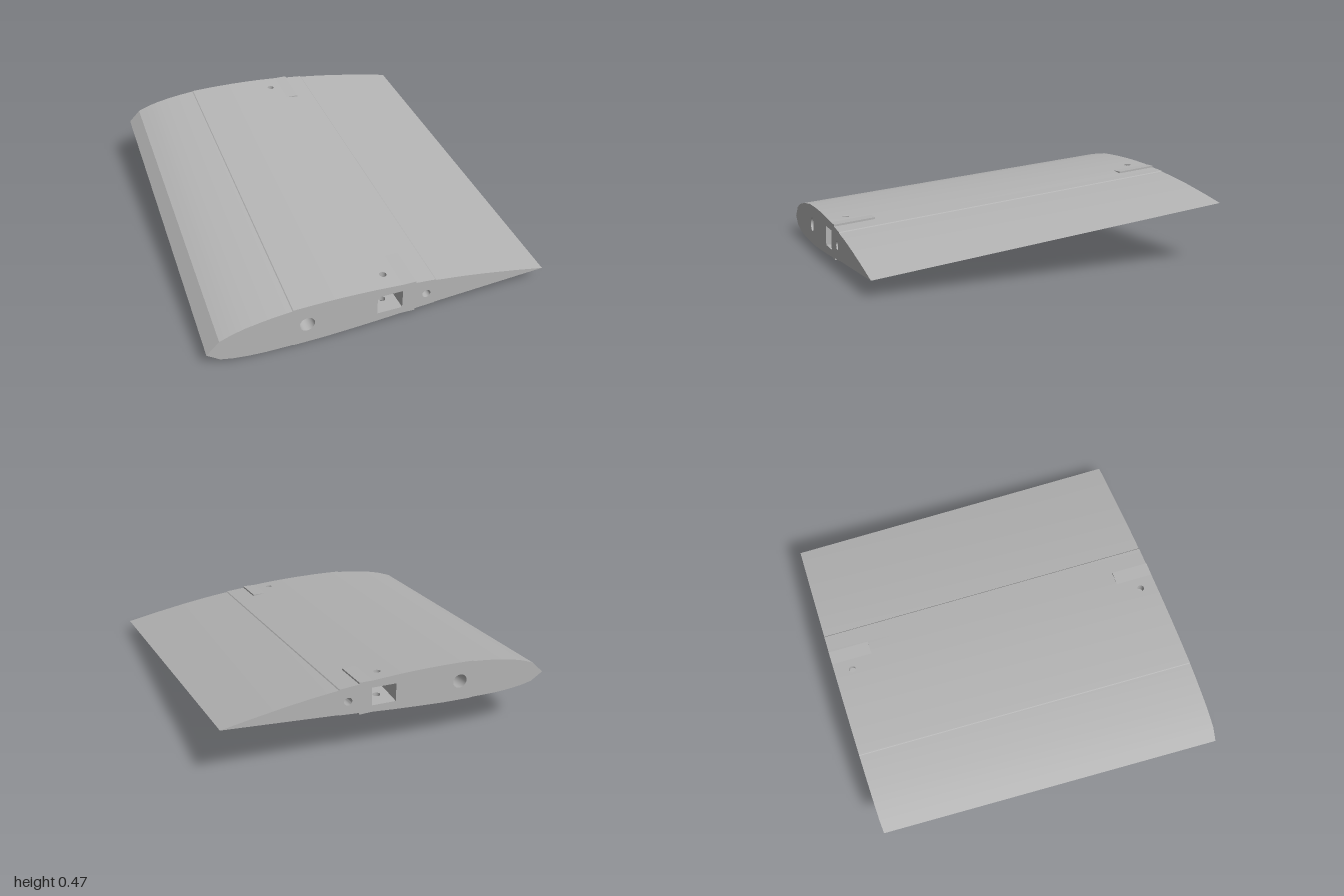
import * as THREE from 'three';
import { mergeGeometries, toCreasedNormals } from 'three/addons/utils/BufferGeometryUtils.js';

// Tapered, swept-up placement of a section point (u, v) at depth z
function place(u, v, z) {
  const t = (1 - z) / 2, s = 1 - 0.078 * t;
  return new THREE.Vector3(u * s - 0.005 * t, v * s + 0.251 * t, z);
}

// Section, counter-clockwise from the trailing edge; small steps are the seams
const topSide = [
  [0.97, 0.085], [0.8, 0.119], [0.6, 0.155], [0.45, 0.178], [0.305, 0.196], [0.3, 0.201],
  [0.185, 0.211], [0.1, 0.222], [-0.03, 0.231], [-0.12, 0.235], [-0.22, 0.238], [-0.33, 0.239],
  [-0.42, 0.238], [-0.505, 0.236], [-0.51, 0.232], [-0.6, 0.224], [-0.68, 0.213], [-0.76, 0.199],
  [-0.83, 0.181], [-0.9, 0.155],
];
const bottomSide = [
  [-0.97, 0.085], [-0.9, 0.036], [-0.83, 0.02], [-0.75, 0.01], [-0.66, 0.004], [-0.51, 0.003],
  [-0.505, 0], [-0.33, 0.002], [-0.18, 0.009], [-0.03, 0.0175], [0.1, 0.027], [0.185, 0.035],
  [0.3, 0.042], [0.305, 0.045],
];
const section = [...topSide, ...bottomSide];

const BORES = [['sparBore', -0.43, 0.12, 0.042], ['pinBore', 0.25, 0.118, 0.024]];
const POCKET = { x0: -0.035, x1: 0.11, y0: 0.068, y1: 0.178, depth: 0.23 };
const SCREW = { u: 0.035, z: 0.9, r: 0.02 };

const circle = (x, y, r, n = 24) => Array.from({ length: n }, (_, i) => {
  const a = (i / n) * Math.PI * 2;
  return [x + r * Math.cos(a), y + r * Math.sin(a)];
});
const vec = (pts) => pts.map(([x, y]) => new THREE.Vector2(x, y));

// Flat outline with holes, each point moved to its place by a rule
function sheet(outline, holes, rule) {
  const shape = new THREE.Shape(vec(outline));
  holes.forEach((h) => shape.holes.push(new THREE.Path(vec(h))));
  const geo = new THREE.ShapeGeometry(shape);
  const p = geo.attributes.position;
  for (let i = 0; i < p.count; i++) {
    const q = rule(p.getX(i), p.getY(i));
    p.setXYZ(i, q.x, q.y, q.z);
  }
  geo.deleteAttribute('uv');
  geo.computeVertexNormals();
  return geo;
}
const rect = (x0, y0, x1, y1) => [[x0, y0], [x1, y0], [x1, y1], [x0, y1]];

// Spanwise panels between z0 and z1, one per profile segment
function loft(profile, z0, z1, crease, drilled) {
  const panels = profile.map(([u0, v0], i) => {
    const [u1, v1] = profile[(i + 1) % profile.length];
    const holes = [];
    if (drilled && Math.min(u0, u1) === -0.03 && Math.max(u0, u1) === 0.1) {
      for (const z of [SCREW.z, -SCREW.z]) {
        holes.push(circle(0, 0, SCREW.r).map(([a, b]) => [(SCREW.u + a - u0) / (u1 - u0), z + b]));
      }
    }
    return sheet(rect(0, z0, 1, z1), holes, (f, z) => place(u0 + f * (u1 - u0), v0 + f * (v1 - v0), z));
  });
  return toCreasedNormals(mergeGeometries(panels), crease);
}

export function createModel() {
  const wing = new THREE.Group();
  wing.name = 'wingSection';
  const grey = new THREE.MeshStandardMaterial({ color: 0xb4b4b4, side: THREE.DoubleSide });
  grey.name = 'plainGrey';
  const add = (parent, name, geo) => {
    const mesh = new THREE.Mesh(geo, grey);
    mesh.name = name;
    parent.add(mesh);
    return mesh;
  };

  // Outer skin and the two bores running along the span
  add(wing, 'skin', loft(section, -1, 1, 0.2, true));
  for (const [name, x, y, r] of BORES) add(wing, name, loft(circle(x, y, r), -1, 1, 0.6));

  for (const e of [1, -1]) {
    const end = new THREE.Group();
    end.name = e > 0 ? 'frontEnd' : 'backEnd';
    wing.add(end);

    // End rib with bores and square pocket cut out
    const holes = BORES.map(([, x, y, r]) => circle(x, y, r));
    holes.push(rect(POCKET.x0, POCKET.y0, POCKET.x1, POCKET.y1));
    const rib = sheet(section, holes, (u, v) => place(u, v, e));
    if (e < 0) {
      rib.index.array.reverse();
      rib.computeVertexNormals();
    }
    add(end, 'endRib', rib);

    // Straight pocket
    const a = place(POCKET.x0, POCKET.y0, e), b = place(POCKET.x1, POCKET.y1, e);
    const zIn = e * (1 - POCKET.depth), za = Math.min(e, zIn), zb = Math.max(e, zIn);
    const screw = place(SCREW.u, 0, e * SCREW.z);
    const V = (x, y, z) => new THREE.Vector3(x, y, z);
    const screwHole = circle(screw.x, screw.z, SCREW.r);
    for (const [name, y] of [['pocketFloor', a.y], ['pocketRoof', b.y]]) {
      add(end, name, sheet(rect(a.x, za, b.x, zb), [screwHole], (x, z) => V(x, y, z)));
    }
    add(end, 'pocketBack', sheet(rect(a.x, a.y, b.x, b.y), [], (x, y) => V(x, y, zIn)));
    add(end, 'pocketInnerWall', sheet(rect(a.y, za, b.y, zb), [], (y, z) => V(a.x, y, z)));
    const midY = (a.y + b.y) / 2, zPin = e * 0.92;
    add(end, 'pocketOuterWall',
      sheet(rect(a.y, za, b.y, zb), [circle(midY, zPin, 0.012, 16)], (y, z) => V(b.x, y, z)));

    // Cross hole from the pocket towards the pin bore
    const cross = add(end, 'crossHole', new THREE.CylinderGeometry(0.012, 0.012, 0.1, 16, 1, true));
    cross.rotation.z = Math.PI / 2;
    cross.position.set(b.x + 0.05, midY, zPin);

    // Screw holes through both skins
    const skinTop = place(SCREW.u, 0.2245, e * SCREW.z).y;
    const skinBottom = place(SCREW.u, 0.0245, e * SCREW.z).y;
    for (const [name, y0, y1] of [['upperScrewHole', b.y, skinTop], ['lowerScrewHole', skinBottom, a.y]]) {
      const tube = add(end, name, new THREE.CylinderGeometry(SCREW.r, SCREW.r, y1 - y0, 24, 1, true));
      tube.position.set(screw.x, (y0 + y1) / 2, screw.z);
    }

    // Thin wedge pads standing off the skin
    const pads = [
      ['upperPad', [[0.1, 0.2215], [0.185, 0.2105], [0.185, 0.2215]]],
      ['lowerPad', [[0.1, 0.0275], [0.185, 0.024], [0.185, 0.0355]]],
    ];
    for (const [name, tri] of pads) {
      const sides = loft(tri, za, zb, 0.2);
      const caps = [za, zb].map((z) => {
        const cap = sheet(tri, [], (u, v) => place(u, v, z));
        if (z === za) {
          cap.index.array.reverse();
          cap.computeVertexNormals();
        }
        return cap.toNonIndexed();
      });
      add(end, name, mergeGeometries([sides, ...caps]));
    }
  }
  return wing;
}
